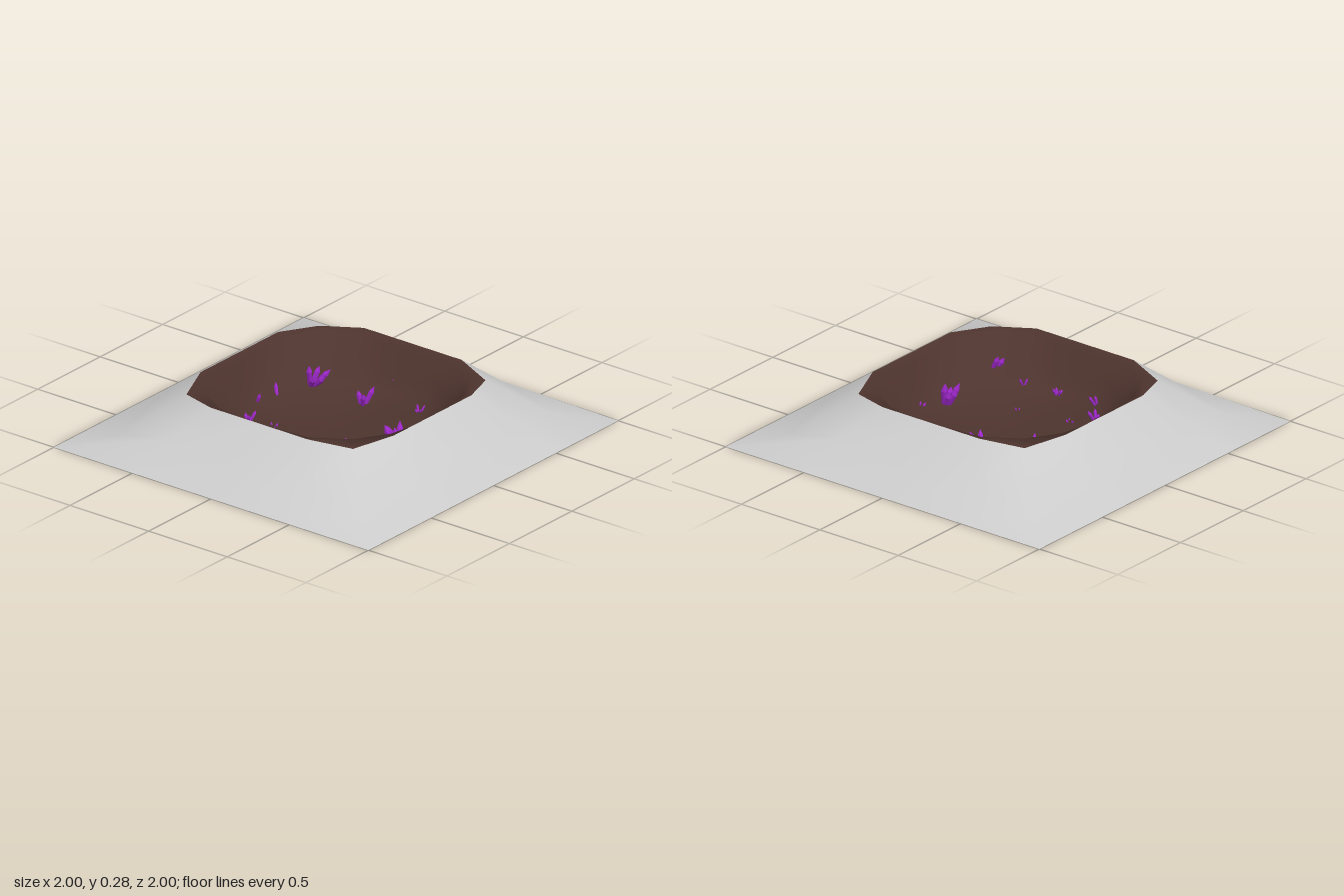
import * as THREE from 'three';

// One closed ring of 16 points: side middle [a, y], shoulder [a, m, y], corner [d, y]
function ring([a, ya], [b, m, yb], [d, yd]) {
  const pts = [];
  for (let q = 0; q < 4; q++) {
    const c = Math.round(Math.cos(q * Math.PI / 2)), s = Math.round(Math.sin(q * Math.PI / 2));
    for (const [x, y, z] of [[a, ya, 0], [b, yb, m], [d, yd, d], [m, yb, b]]) {
      pts.push([x * c - z * s, y, x * s + z * c]);
    }
  }
  return pts;
}

// Skin between successive rings, from the outside inwards
function loft(rings, centreY) {
  const pos = rings.flat(2), idx = [], n = 16;
  for (let r = 0; r < rings.length - 1; r++) {
    for (let i = 0; i < n; i++) {
      const j = (i + 1) % n, a = r * n + i, b = r * n + j;
      idx.push(a, a + n, b, b, a + n, b + n);
    }
  }
  if (centreY !== undefined) {
    const c = rings.length * n, o = c - n;
    pos.push(0, centreY, 0);
    for (let i = 0; i < n; i++) idx.push(o + i, c, o + (i + 1) % n);
  }
  const g = new THREE.BufferGeometry();
  g.setAttribute('position', new THREE.Float32BufferAttribute(pos, 3));
  g.setIndex(idx);
  g.computeVertexNormals();
  return g;
}

// Six-sided crystal with a pointed tip, base at the origin, one unit tall
function crystalGeometry() {
  const profile = [[0, 0], [0.1, 0], [0.13, 0.7], [0, 1]].map(p => new THREE.Vector2(...p));
  return new THREE.LatheGeometry(profile, 6);
}

export function createModel() {
  const model = new THREE.Group();
  const add = (name, geometry, color) => {
    const mesh = new THREE.Mesh(geometry,
      new THREE.MeshStandardMaterial({ color, side: THREE.DoubleSide }));
    mesh.name = name;
    model.add(mesh);
  };

  // Rim shared by the outer slope and the bowl
  const rim = ring([0.615, 0.275], [0.615, 0.31, 0.275], [0.53, 0.255]);
  add('outerSlope', loft([
    ring([1, 0], [1, 0.5, 0], [1, 0]),
    ring([0.8, 0.14], [0.79, 0.43, 0.13], [0.77, 0.055]),
    rim,
  ]), 0xcccccc);
  add('craterBowl', loft([
    rim,
    ring([0.58, 0.235], [0.575, 0.29, 0.265], [0.47, 0.27]),
    ring([0.53, 0.12], [0.51, 0.25, 0.15], [0.4, 0.17]),
    ring([0.45, 0.06], [0.42, 0.2, 0.065], [0.31, 0.085]),
    ring([0.24, 0.04], [0.22, 0.1, 0.04], [0.17, 0.045]),
  ], 0.03), 0x4e342e);

  // Crystal clusters: x, base y, z, count, length, lean in x, lean in z, spread
  const clusters = [
    [0.265, 0.085, -0.36, 5, 0.12, 0, 0.55, 0.5],
    [0.29, 0.05, -0.06, 3, 0.11, 0, 0.15, 0.4],
    [-0.01, 0.06, 0.4, 6, 0.13, 0, -0.3, 0.25],
    [-0.37, 0.12, 0.39, 2, 0.11, -0.05, -0.6, 0.1],
    [0.34, 0.075, 0.26, 4, 0.05, 0, 0, 0.6],
    [0.13, 0.065, 0.455, 2, 0.05, -0.3, -0.3, 0.3],
    [-0.43, 0.06, 0.025, 4, 0.055, 0, 0, 0.5],
    [-0.4, 0.075, 0.22, 2, 0.05, 0.1, -0.1, 0.4],
    [-0.19, 0.04, 0.09, 2, 0.03, 0, 0, 0.4],
    [-0.22, 0.045, -0.225, 4, 0.045, 0, 0, 0.6],
    [-0.28, 0.08, -0.335, 3, 0.07, 0.1, 0.1, 0.45],
    [-0.415, 0.09, -0.23, 2, 0.06, 0.3, 0.3, 0.2],
    [-0.06, 0.06, -0.47, 1, 0.08, -0.08, 0.45, 0],
    [0.07, 0.06, -0.44, 1, 0.08, 0.4, -0.45, 0],
    [0.475, 0.075, -0.035, 1, 0.07, 0.75, -0.25, 0],
    [0.46, 0.07, 0.11, 1, 0.03, 0, 0, 0],
  ];
  const crystal = crystalGeometry();
  const purple = new THREE.MeshStandardMaterial({ color: 0x9c27c8, flatShading: true });
  const up = new THREE.Vector3(0, 1, 0);
  for (const [x, y, z, count, length, leanX, leanZ, spread] of clusters) {
    const cluster = new THREE.Group();
    cluster.name = 'crystalCluster';
    cluster.position.set(x, y - 0.012, z);
    for (let i = 0; i < count; i++) {
      const a = i * Math.PI * 2 / count + 0.5;
      const s = count > 1 ? spread : 0;
      const mesh = new THREE.Mesh(crystal, purple);
      mesh.name = 'crystal';
      const dir = new THREE.Vector3(leanX + s * Math.cos(a), 1, leanZ + s * Math.sin(a)).normalize();
      mesh.quaternion.setFromUnitVectors(up, dir);
      const l = length * (1 - 0.3 * (i % 3) / 2);
      mesh.scale.set(length, l, length);
      mesh.position.set(0.1 * length * Math.cos(a), 0, 0.1 * length * Math.sin(a));
      cluster.add(mesh);
    }
    model.add(cluster);
  }
  return model;
}
